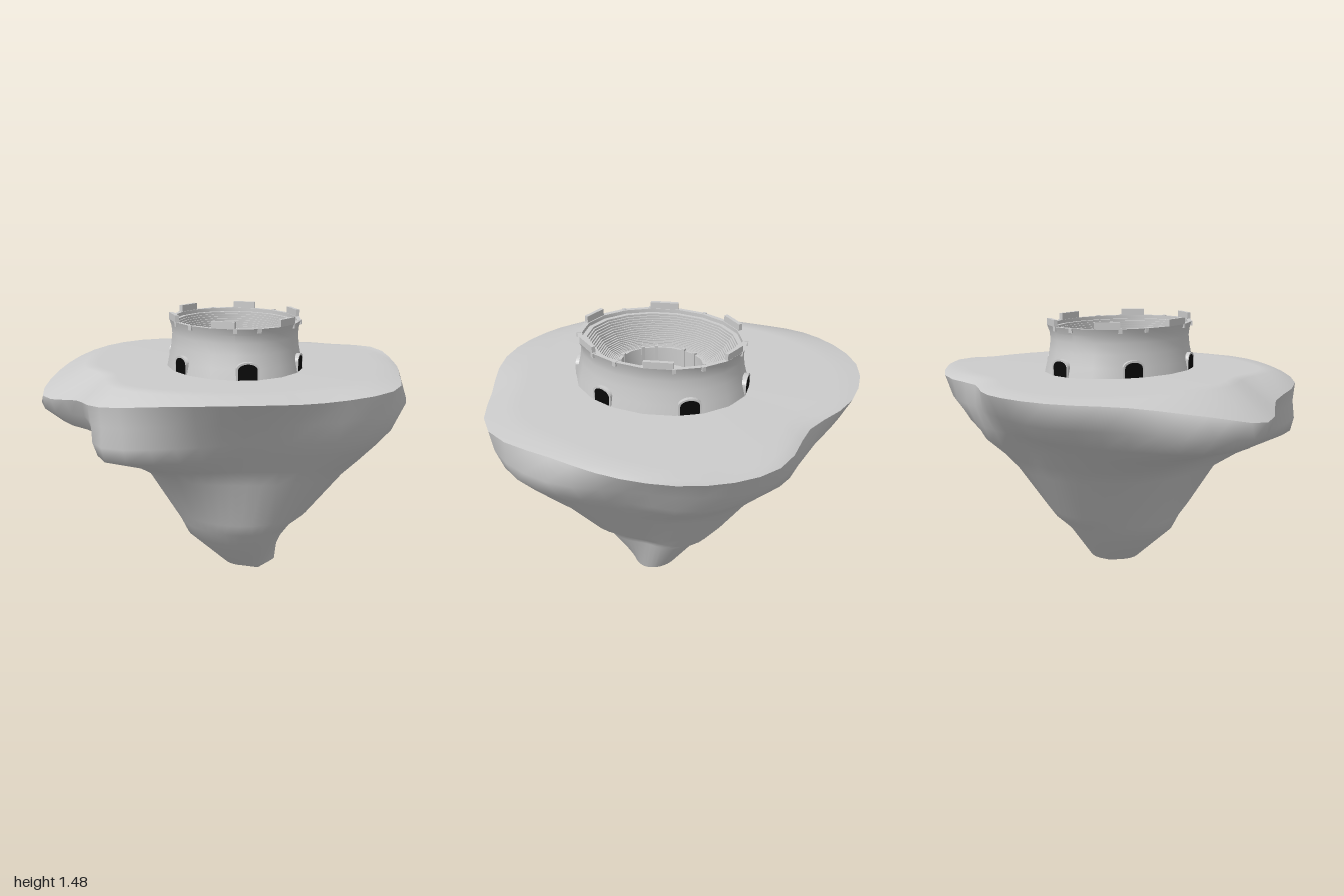
import * as THREE from 'three';
import { toCreasedNormals } from 'three/addons/utils/BufferGeometryUtils.js';

const grey = new THREE.MeshStandardMaterial({ color: 0xcccccc });
const dark = new THREE.MeshStandardMaterial({ color: 0x080808 });
const SEG = 48;

// Smooth periodic interpolation of values spread evenly around the circle
function around(list, i) {
  const n = list.length, u = (i / SEG) * n, k = Math.floor(u), t = u - k;
  const [a, b, c, d] = [-1, 0, 1, 2].map(o => list[(k + o + n) % n]);
  return b + 0.5 * t * (c - a + t * (2 * a - 5 * b + 4 * c - d + t * (3 * (b - c) + d - a)));
}

// Skin closed loops (each SEG points), listed from bottom to top
function skin(loops) {
  const index = [];
  for (let l = 0; l < loops.length - 1; l++) {
    for (let i = 0; i < SEG; i++) {
      const a = l * SEG + i, b = l * SEG + (i + 1) % SEG;
      index.push(a, a + SEG, b, b, a + SEG, b + SEG);
    }
  }
  const geo = new THREE.BufferGeometry();
  geo.setAttribute('position', new THREE.Float32BufferAttribute(loops.flat(2), 3));
  geo.setIndex(index);
  geo.computeVertexNormals();
  return geo;
}

function add(parent, name, geo, material = grey) {
  const mesh = new THREE.Mesh(geo, material);
  mesh.name = name;
  parent.add(mesh);
  return mesh;
}

// Rim of the island, from +x round through +z
const rimRadius = [0.99, 0.98, 1.07, 0.98, 0.98, 0.96, 0.96, 0.86, 0.98, 0.97, 0.98, 1.02, 0.96, 0.85, 0.99, 1.05];
const rimHeight = [1.17, 1.17, 1.165, 1.15, 1.165, 1.15, 1.11, 1.07, 1.03, 1.1, 1.16, 1.175, 1.17, 1.16, 1.16, 1.19];
const plateau = [0.96, 0.9, 0.88, 0.88, 0.76, 0.88, 0.95, 0.94];

// Rock sections: height, centre x, centre z, radii from +x round through +z
const sections = [
  [0, 0.2, 0.09, [0.01, 0.01, 0.01, 0.01]],
  [0.06, 0.13, 0.09, [0.17, 0.13, 0.12, 0.12, 0.12, 0.12, 0.14, 0.16]],
  [0.25, 0.12, 0.08, [0.2, 0.25, 0.31, 0.32, 0.32, 0.3, 0.28, 0.28]],
  [0.33, 0.11, 0.06, [0.28, 0.33, 0.39, 0.37, 0.35, 0.34, 0.34, 0.36]],
  [0.4, 0.1, 0.05, [0.36, 0.43, 0.45, 0.42, 0.38, 0.38, 0.41, 0.4]],
  [0.65, 0.06, 0.02, [0.57, 0.68, 0.55, 0.56, 0.49, 0.52, 0.55, 0.58]],
  [0.74, 0.04, 0, [0.67, 0.8, 0.63, 0.71, 0.55, 0.59, 0.61, 0.66]],
  [0.84, 0.02, 0, [0.76, 0.84, 0.92, 0.8, 0.72, 0.83, 0.96, 0.72, 0.69, 0.73, 0.74, 0.71, 0.68, 0.76, 0.76, 0.8]],
  [0.93, 0.01, 0, [0.84, 0.94, 1.0, 0.87, 0.78, 0.87, 0.97, 0.78, 0.88, 0.94, 0.87, 0.82, 0.76, 0.8, 0.86, 0.9]],
  [1.05, 0, 0, [0.92, 1.02, 1.05, 0.93, 0.87, 0.9, 0.95, 0.82, 0.97, 1.04, 1.0, 1.01, 0.9, 0.85, 0.95, 0.97]],
  [1.17, 0, 0, rimRadius],
];

function loop(fn) {
  return Array.from({ length: SEG }, (_, i) => {
    const a = (i / SEG) * Math.PI * 2, [r, y, cx = 0, cz = 0] = fn(i);
    return [cx + r * Math.cos(a), y, cz + r * Math.sin(a)];
  });
}

function buildIsland() {
  const island = new THREE.Group();
  island.name = 'floatingIsland';
  const sides = sections.map(([y, cx, cz, radii]) => loop(i => {
    const lift = THREE.MathUtils.clamp((y - 0.8) / 0.37, 0, 1);
    return [around(radii, i), y + (around(rimHeight, i) - 1.17) * lift, cx, cz];
  }));
  add(island, 'rockUnderside', skin(sides));
  const inner = (i, s) => around(rimRadius, i) * around(plateau, i) * s;
  add(island, 'plateauTop', skin([
    sides[sides.length - 1],
    loop(i => [inner(i, 1), 1.183]),
    loop(i => [inner(i, 0.9), 1.188]),
    loop(() => [0.001, 1.19]),
  ]));
  return island;
}

// Oval arena: 18 faces, with one face looking straight forward
const STEP = Math.PI / 9, STRETCH = 1.27;
const rimPoint = (a, r) => new THREE.Vector3(Math.sin(a) * r, 0, Math.cos(a) * r * STRETCH);

// Stand an object on face k of the oval and return the face length
function placeOnFace(object, k, r, y) {
  const a = rimPoint((k - 0.5) * STEP, r), b = rimPoint((k + 0.5) * STEP, r);
  object.position.copy(a).add(b).multiplyScalar(0.5).setY(y);
  object.rotation.y = Math.atan2(-(b.z - a.z), b.x - a.x);
  return a.distanceTo(b);
}

function archShape(w, h) {
  const s = new THREE.Shape();
  s.moveTo(-w, 0);
  s.lineTo(w, 0);
  s.lineTo(w, h - w * 0.6);
  s.absellipse(0, h - w * 0.6, w, w * 0.6, 0, Math.PI, false);
  s.lineTo(-w, 0);
  return s;
}

function addArch(parent, k) {
  const w = 0.06, h = 0.095, depth = 0.035;
  const arch = new THREE.Group();
  arch.name = 'archedDoorway';
  const opening = archShape(w * 0.84, h - w * 0.16);
  const frameShape = archShape(w, h);
  frameShape.holes.push(opening);
  const options = { depth, bevelEnabled: false, curveSegments: 8 };
  add(arch, 'doorFrame', new THREE.ExtrudeGeometry(frameShape, options)).position.z = 0.002 - depth;
  add(arch, 'doorOpening', new THREE.ExtrudeGeometry(opening, options), dark).position.z = -depth;
  placeOnFace(arch, k, 0.372, 1.185);
  parent.add(arch);
}

// Small upright block on a corner of the oval
function addPost(parent, name, corner, r, y, width, height) {
  const post = add(parent, name, new THREE.BoxGeometry(width, height, width));
  post.position.copy(rimPoint(corner * STEP, r)).setY(y);
  post.rotation.y = corner * STEP;
}

function buildArena() {
  const arena = new THREE.Group();
  arena.name = 'arena';
  arena.position.set(0.07, 0, 0.05);

  // Flared outer wall, rim, stepped seating and low inner wall in one profile
  const profile = [[0.375, 1.16], [0.37, 1.19], [0.36, 1.24], [0.347, 1.31], [0.341, 1.37],
    [0.345, 1.41], [0.357, 1.445], [0.335, 1.445], [0.335, 1.425], [0.315, 1.425]];
  const rows = 20;
  for (let i = 1; i <= rows; i++) {
    const t = i / rows, y = 1.425 - 0.15 * Math.sin(t * Math.PI / 2);
    profile.push([profile[profile.length - 1][0], y], [0.315 - 0.13 * t, y]);
  }
  profile.push([0.185, 1.29], [0.175, 1.29], [0.175, 1.17]);
  const wall = new THREE.LatheGeometry(profile.map(p => new THREE.Vector2(...p)), 18, STEP / 2);
  wall.scale(1, 1, STRETCH);
  add(arena, 'wallAndSeating', toCreasedNormals(wall, 0.5));

  for (let k = 0; k < 18; k += 3) {
    addArch(arena, k);
    // Battlement between doorways
    const battlement = add(arena, 'battlement', new THREE.BoxGeometry(1, 0.037, 0.02));
    battlement.scale.x = placeOnFace(battlement, k + 2, 0.348, 1.4625);
    // Corner posts beside each gap and gate pillars round the arena floor
    for (const side of [-0.5, 0.5]) {
      addPost(arena, 'rimPost', k + side, 0.35, 1.435, 0.02, 0.025);
      addPost(arena, 'gatePillar', k + side, 0.178, 1.245, 0.018, 0.11);
    }
  }
  return arena;
}

export function createModel() {
  const model = new THREE.Group();
  model.name = 'islandArena';
  model.add(buildIsland(), buildArena());
  return model;
}
